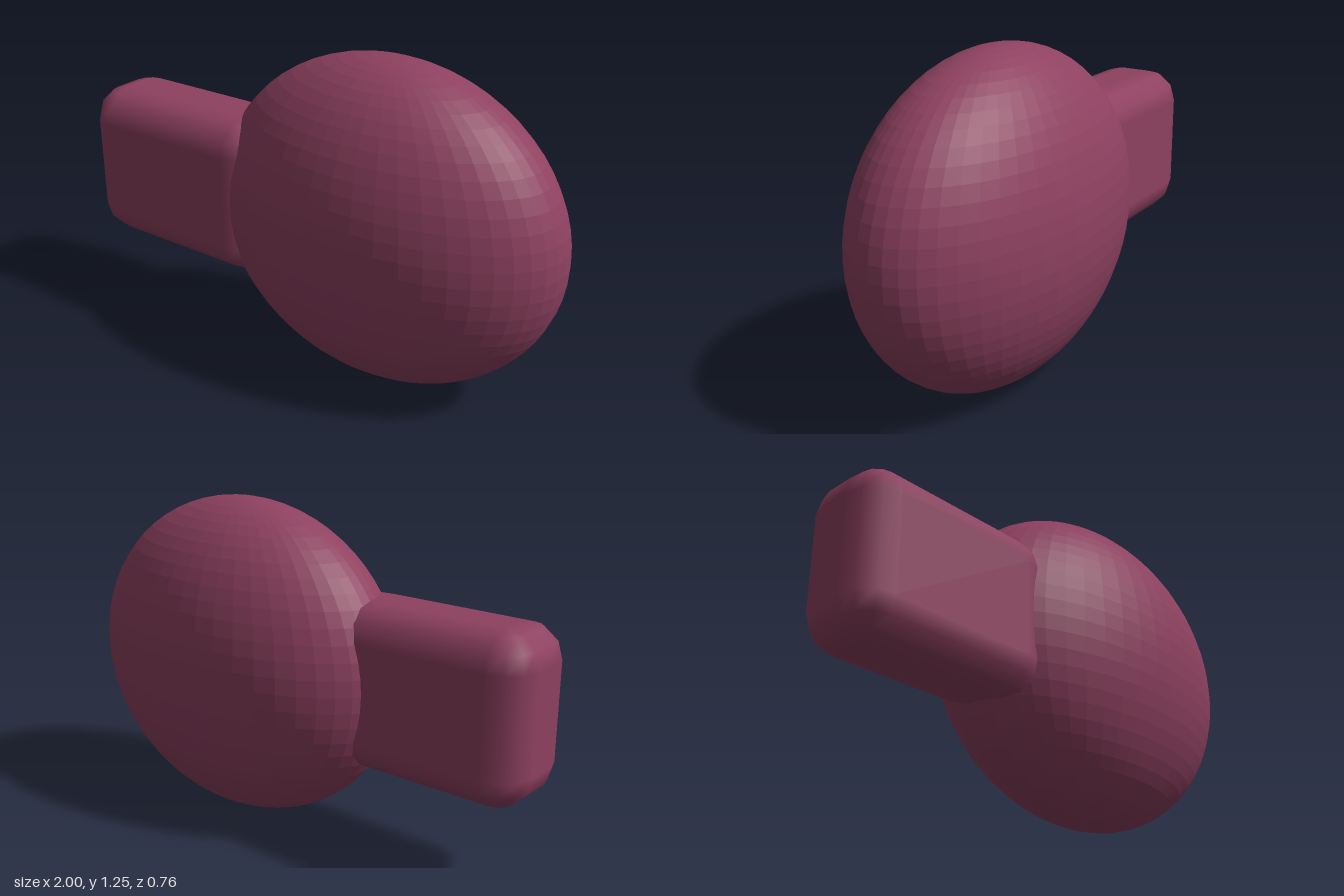
import * as THREE from 'three';

// Box with rounded edges: a grid wrapped round a sphere whose octants are pushed apart.
function roundedBlock(w, h, d, r, seg) {
  const cols = 4 * (seg + 1), rows = 2 * seg + 3;
  const geo = new THREE.PlaneGeometry(1, 1, cols, rows);
  const pos = geo.attributes.position, nor = geo.attributes.normal;
  const step = Math.PI / 2 / seg;
  for (let j = 0; j <= rows; j++) {
    const cap = j === 0 || j === rows;
    const row = Math.min(Math.max(j - 1, 0), rows - 2);
    const top = row <= seg;
    const phi = (top ? row : row - 1) * step;
    for (let i = 0; i <= cols; i++) {
      const c = i % cols, corner = Math.floor(c / (seg + 1));
      const theta = corner * Math.PI / 2 + (c % (seg + 1)) * step;
      const n = new THREE.Vector3(
        Math.sin(phi) * Math.sin(theta), Math.cos(phi), Math.sin(phi) * Math.cos(theta));
      const sx = corner < 2 ? 1 : -1;
      const sz = corner === 0 || corner === 3 ? 1 : -1;
      const k = j * (cols + 1) + i;
      // The first and last rows close the flat top and bottom.
      pos.setXYZ(k,
        cap ? 0 : sx * (w / 2 - r) + n.x * r,
        (top ? 1 : -1) * (h / 2 - r) + n.y * r,
        cap ? 0 : sz * (d / 2 - r) + n.z * r);
      nor.setXYZ(k, n.x, n.y, n.z);
    }
  }
  return geo;
}

export function createModel() {
  const group = new THREE.Group();
  const color = 0x8e4160;

  // Faceted, flattened ball
  const body = new THREE.Mesh(
    new THREE.SphereGeometry(1, 48, 32).scale(0.71, 0.627, 0.382),
    new THREE.MeshStandardMaterial({ color, flatShading: true }));
  body.name = 'ellipsoidBody';
  body.position.set(0.29, 0.627, 0);
  group.add(body);

  // Smooth rounded block entering the ball, set slightly to the front
  const arm = new THREE.Mesh(
    roundedBlock(0.85, 0.625, 0.375, 0.13, 3),
    new THREE.MeshStandardMaterial({ color }));
  arm.name = 'sideBlock';
  arm.position.set(-0.575, 0.632, 0.068);
  group.add(arm);

  return group;
}
